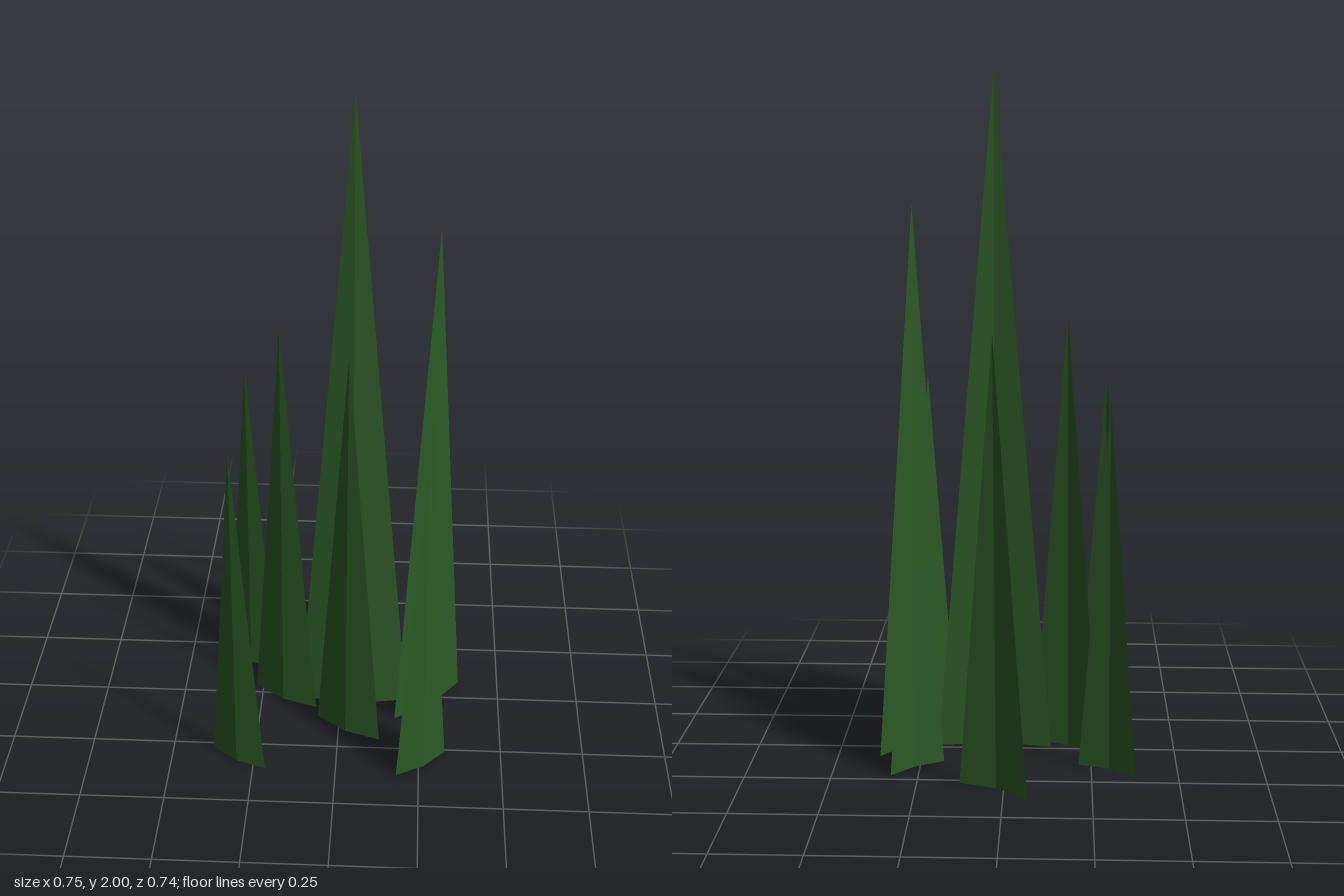
import * as THREE from 'three';

// One folded blade: two triangles meeting along a forward crease, open at the back
function bladeGeometry() {
  const halfWidth = 0.17, fold = 0.028, height = 2;
  const left = [-halfWidth, 0, 0], crease = [0, 0, fold], right = [halfWidth, 0, 0], tip = [0, height, 0];
  const geometry = new THREE.BufferGeometry();
  geometry.setAttribute('position', new THREE.Float32BufferAttribute(
    [left, crease, tip, crease, right, tip].flat(), 3));
  geometry.computeVertexNormals(); // separate corners keep the crease sharp
  return geometry;
}

export function createModel() {
  const model = new THREE.Group();
  model.name = 'grassTuft';

  const grassGreen = new THREE.MeshStandardMaterial({ color: 0x2d5a27, side: THREE.DoubleSide });
  grassGreen.name = 'grass green';
  const geometry = bladeGeometry();

  // name, x, z, height, turn in degrees
  const blades = [
    ['centreBlade', 0.039, 0.015, 2.0, 0],
    ['tallLeftBlade', 0.274, 0.015, 1.625, 43],
    ['middleRightBlade', -0.174, 0.014, 1.31, -28],
    ['middleFrontBlade', 0.03, 0.16, 1.3, -28],
    ['middleBackBlade', 0.03, -0.32, 1.3, -28],
    ['shortRightFrontBlade', -0.295, 0.314, 1.09, -28],
    ['shortRightBackBlade', -0.295, -0.166, 1.09, -28],
    ['shortLeftFrontBlade', 0.256, 0.314, 1.09, 37.5],
    ['shortLeftBackBlade', 0.256, -0.166, 1.09, 37.5],
  ];
  for (const [name, x, z, height, turn] of blades) {
    const blade = new THREE.Mesh(geometry, grassGreen);
    blade.name = name;
    blade.position.set(x, 0, z);
    blade.rotation.y = THREE.MathUtils.degToRad(turn);
    blade.scale.setScalar(height / 2);
    model.add(blade);
  }
  return model;
}
